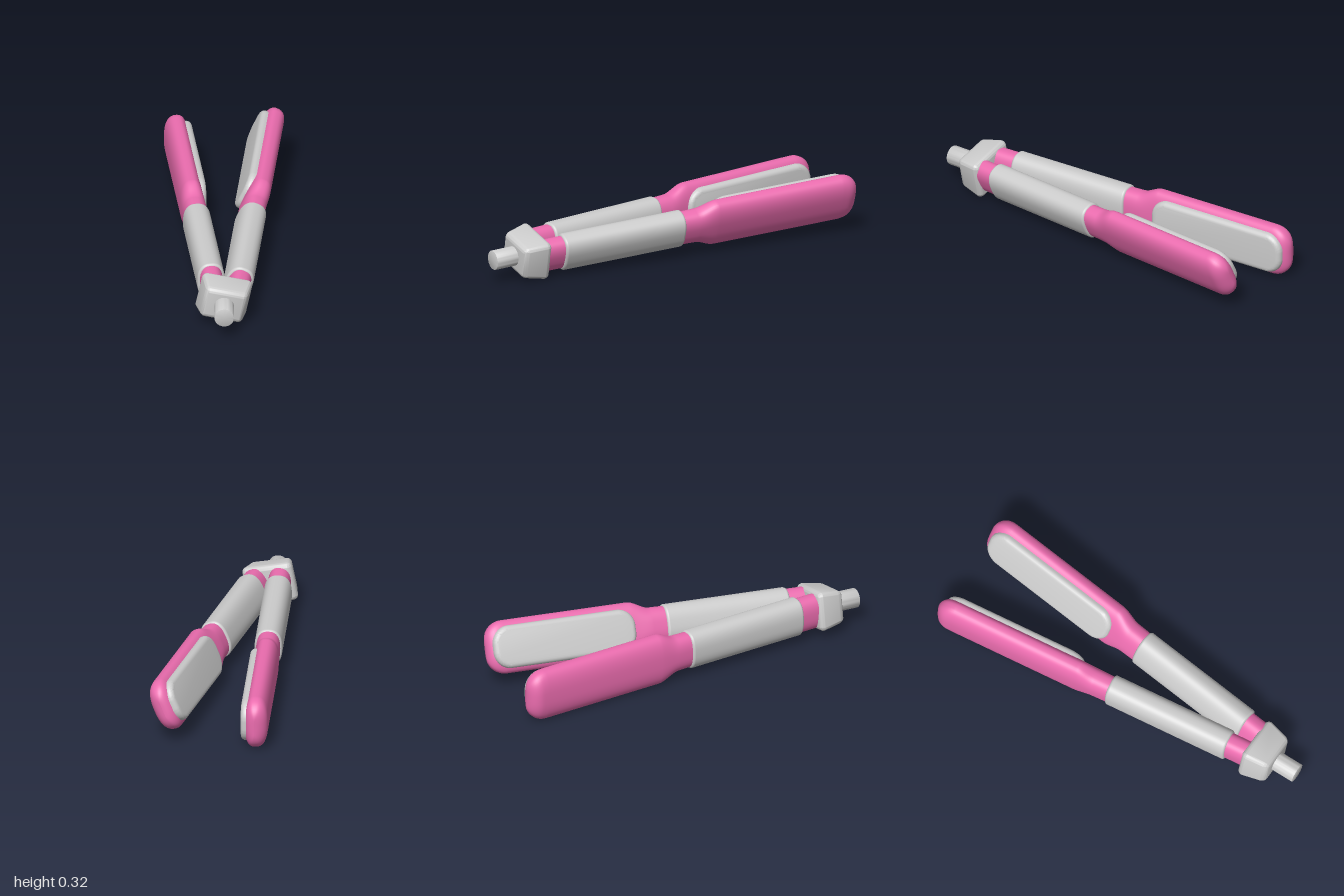
import * as THREE from 'three';
import { toCreasedNormals } from 'three/addons/utils/BufferGeometryUtils.js';
import { RoundedBoxGeometry } from 'three/addons/geometries/RoundedBoxGeometry.js';

const grey = new THREE.MeshStandardMaterial({ color: 0xcccccc });
const pink = new THREE.MeshStandardMaterial({ color: 0xea6cae });
const rad = THREE.MathUtils.degToRad;

function mesh(name, geometry, material, parent) {
  const m = new THREE.Mesh(geometry, material);
  m.name = name;
  parent.add(m);
  return m;
}

// Skin over superellipse sections along +z; station = [z, halfHeight, half width at +x, half width at -x]
function loft(stations, power = 2.5, sides = 48) {
  const pos = [], index = [];
  const curve = (v) => Math.sign(v) * Math.abs(v) ** (2 / power);
  stations.forEach(([z, hh, wPlus, wMinus], i) => {
    for (let j = 0; j < sides; j++) {
      const a = (j / sides) * Math.PI * 2;
      const c = curve(Math.cos(a));
      pos.push(c * (c > 0 ? wPlus : wMinus), hh * curve(Math.sin(a)), z);
      if (i === stations.length - 1) continue;
      const k = (j + 1) % sides, p = i * sides, q = p + sides;
      index.push(p + j, p + k, q + k, p + j, q + k, q + j);
    }
  });
  const geo = new THREE.BufferGeometry();
  geo.setAttribute('position', new THREE.Float32BufferAttribute(pos, 3));
  geo.setIndex(index);
  geo.computeVertexNormals();
  return geo;
}

// Rounded paddle tip, flared neck, then a straight shaft to the hinge
function bodyStations(side) {
  const list = [];
  const add = (z, hh, outer, inner) =>
    list.push(side > 0 ? [z, hh, inner, outer] : [z, hh, outer, inner]);
  for (let i = 0; i <= 12; i++) {
    const a = (1 - i / 12) * Math.PI / 2;
    const u = 0.1 * Math.sin(a);
    const w = Math.sqrt(Math.max(0, 1 - (Math.max(0, u - 0.035) / 0.065) ** 2));
    add(-0.863 - u, 0.04 + 0.095 * Math.cos(a), 0.065 * w, 0.053 * w);
  }
  for (let i = 0; i <= 8; i++) {
    const t = i / 8, e = t * t * (3 - 2 * t);
    add(-0.185 + 0.115 * t, 0.135 - 0.041 * e, 0.065 - 0.003 * e, 0.053 + 0.007 * e);
  }
  add(0.1, 0.09, 0.058, 0.058);
  add(0.8, 0.09, 0.058, 0.058);
  return list;
}

// Sleeve with softly rounded rims
function gripGeometry(length) {
  const r = 0.014, list = [[0, 0.07, 0.04, 0.04]];
  const rim = (z, a) => {
    const d = r * (1 - Math.sin(a));
    list.push([z, 0.1 - d, 0.07 - d, 0.07 - d]);
  };
  for (let i = 0; i <= 5; i++) {
    const a = (i / 5) * Math.PI / 2;
    rim(r * (1 - Math.cos(a)), a);
  }
  for (let i = 5; i >= 0; i--) {
    const a = (i / 5) * Math.PI / 2;
    rim(length - r * (1 - Math.cos(a)), a);
  }
  list.push([length, 0.07, 0.04, 0.04]);
  return loft(list);
}

// Long rounded heating plate with bevelled edge, facing the other arm
function plateGeometry(side) {
  const L = 0.36, H = 0.083, r = 0.065;
  const s = new THREE.Shape();
  s.moveTo(-L + r, -H);
  s.lineTo(L - r, -H);
  s.absarc(L - r, -H + r, r, -Math.PI / 2, 0);
  s.absarc(L - r, H - r, r, 0, Math.PI / 2);
  s.absarc(-L + r, H - r, r, Math.PI / 2, Math.PI);
  s.absarc(-L + r, -H + r, r, Math.PI, Math.PI * 1.5);
  const geo = new THREE.ExtrudeGeometry(s, {
    depth: 0.02, bevelThickness: 0.025, bevelSize: 0.025, bevelSegments: 5, curveSegments: 10,
  });
  geo.translate(0, 0, 0.027);
  geo.rotateY(side * Math.PI / 2);
  geo.translate(0, 0, -0.553);
  return toCreasedNormals(geo, 0.6);
}

// One arm; its origin is the rear end of the grip, side gives the direction its plate faces
function makeArm(name, side, position, pitch, yaw, roll) {
  const arm = new THREE.Group();
  arm.name = name;
  mesh('armBody', loft(bodyStations(side)), pink, arm);
  mesh('grip', gripGeometry(0.67), grey, arm);
  mesh('heatingPlate', plateGeometry(side), grey, arm);
  arm.position.set(...position);
  arm.rotation.set(rad(pitch), rad(yaw), rad(roll), 'YXZ');
  return arm;
}

// Tapered hinge block with the cord stub
function makeHinge() {
  const hinge = new THREE.Group();
  hinge.name = 'hinge';
  const box = new RoundedBoxGeometry(0.258, 0.204, 0.15, 6, 0.028);
  const p = box.attributes.position;
  for (let i = 0; i < p.count; i++) {
    const t = THREE.MathUtils.clamp((p.getZ(i) + 0.045) / 0.12, 0, 1);
    p.setX(i, p.getX(i) * (1 - 0.2 * t));
    p.setY(i, p.getY(i) * (1 - 0.2 * t));
  }
  mesh('hingeBlock', toCreasedNormals(box, 0.6), grey, hinge);

  const profile = [[0, -0.08], [0.05, -0.08], [0.05, 0.076], [0.0485, 0.079], [0.046, 0.08], [0, 0.08]];
  const stub = new THREE.LatheGeometry(profile.map(([x, y]) => new THREE.Vector2(x, y)), 40);
  stub.rotateX(Math.PI / 2);
  mesh('cordStub', toCreasedNormals(stub, 0.5), grey, hinge).position.z = 0.116;

  hinge.position.set(0.188, 0.125, 0.8);
  hinge.rotation.set(rad(1.2), rad(7.4), rad(-12), 'YXZ');
  return hinge;
}

export function createModel() {
  const model = new THREE.Group();
  model.name = 'hairStraightener';
  model.add(
    makeArm('rightArm', 1, [-0.05, 0.135, -0.012], 0, 13.3, 0),
    makeArm('leftArm', -1, [0.22, 0.152, -0.035], 2.5, 1.5, -24),
    makeHinge(),
  );
  return model;
}
